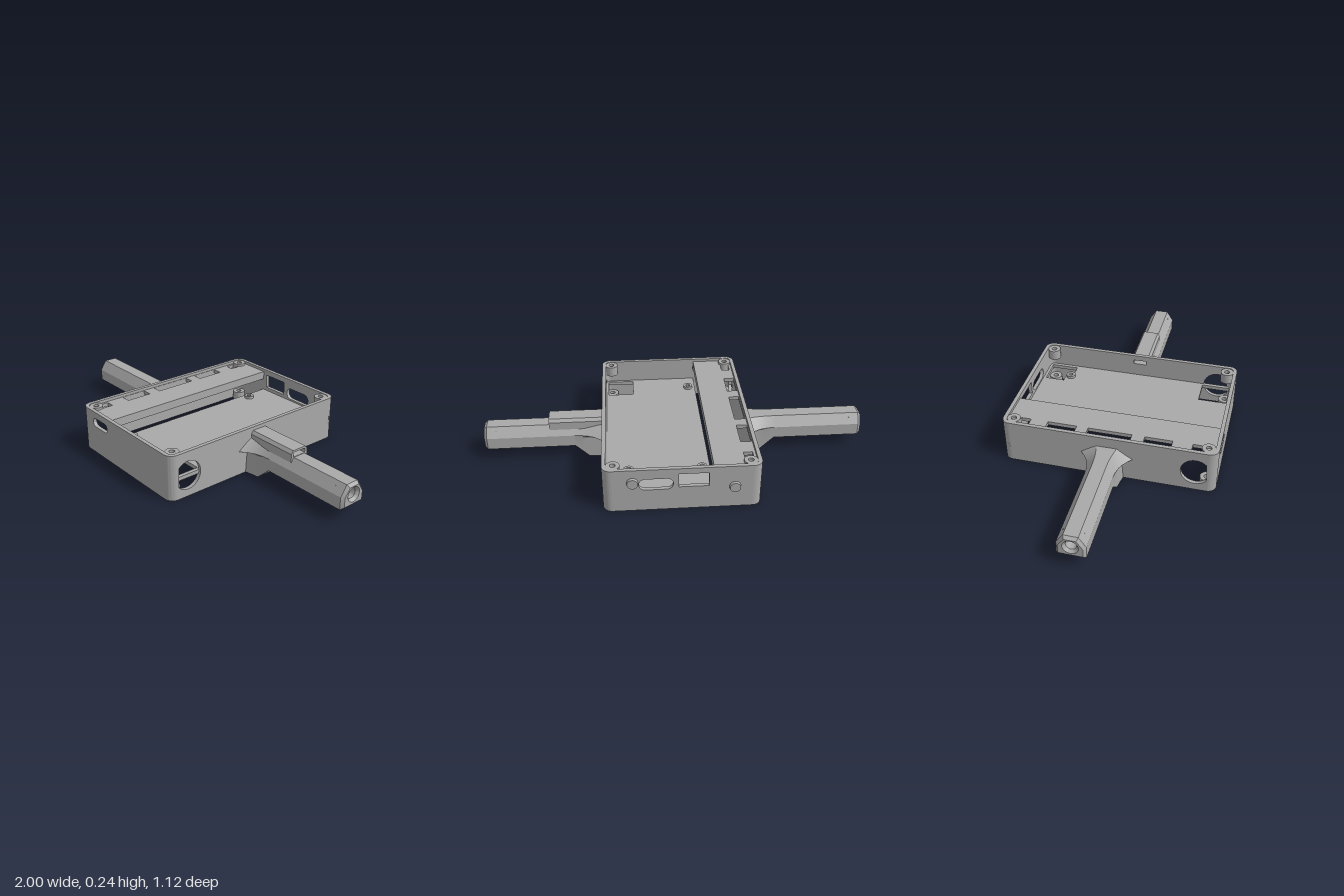
import * as THREE from 'three';
import { toCreasedNormals } from 'three/addons/utils/BufferGeometryUtils.js';

const plastic = new THREE.MeshStandardMaterial({ color: 0xa9a9a9 });
plastic.name = 'greyPlastic';

const CZ = 0.005;                       // z centre of the case and arms
const HX = 0.383, HZ = 0.55, H = 0.236; // case half sizes and height
const WALL = 0.02, R = 0.045;

const mesh = (name, geo) => {
  const m = new THREE.Mesh(geo, plastic);
  m.name = name;
  return m;
};
const poly = (pts) => new THREE.Shape(pts.map(([x, y]) => new THREE.Vector2(x, y)));
const rect = (x0, y0, x1, y1) => poly([[x0, y0], [x1, y0], [x1, y1], [x0, y1]]);
const circle = (x, y, r) => new THREE.Shape().absarc(x, y, r, 0, Math.PI * 2);
const slot = (x0, y0, x1, y1) => {
  const r = (y1 - y0) / 2, y = y0 + r;
  return new THREE.Shape()
    .absarc(x0 + r, y, r, Math.PI / 2, Math.PI * 1.5)
    .absarc(x1 - r, y, r, -Math.PI / 2, Math.PI / 2);
};
const extrude = (shape, depth, holes = [], opts = {}) => {
  shape.holes.push(...holes);
  const geo = new THREE.ExtrudeGeometry(shape, { depth, bevelEnabled: false, curveSegments: 16, ...opts });
  return toCreasedNormals(geo, 0.5);
};
// Shape in (x, z), extruded down from y = top
const slab = (shape, top, depth, holes) =>
  extrude(shape, depth, holes).rotateX(Math.PI / 2).translate(0, top, 0);
// Shape in (z, y), extruded towards -x from x = end
const along = (shape, end, depth, holes, opts) =>
  extrude(shape, depth, holes, opts).rotateY(-Math.PI / 2).translate(end, 0, 0);
// Vertical screw tube
const tube = (name, x, z, y0, y1, r, hole) =>
  mesh(name, slab(circle(x, z, r), y1, y1 - y0, [circle(x, z, hole)]));

function makeCase() {
  const g = new THREE.Group();
  g.name = 'case';
  const z0 = CZ - HZ, z1 = CZ + HZ, ix = HX - R;

  // Side walls with two round ports each; the left one has a cable opening
  const ports = () => [circle(0.45, 0.112, 0.074), circle(-0.437, 0.112, 0.074)];
  g.add(mesh('leftWall', along(rect(z0 + R, 0, z1 - R, H), HX, WALL,
    [...ports(), rect(-0.032, 0.183, 0.042, 0.206)])));
  g.add(mesh('rightWall', along(rect(z0 + R, 0, z1 - R, H), -HX + WALL, WALL, ports())));

  // Front wall with a slot, back wall with a slot and a window
  g.add(mesh('frontWall', extrude(rect(-ix, 0, ix, H), WALL,
    [slot(-0.28, 0.153, -0.147, 0.201)]).translate(0, 0, z1 - WALL)));
  g.add(mesh('backWall', extrude(rect(-ix, 0, ix, H), WALL,
    [slot(0.045, 0.12, 0.21, 0.182), rect(-0.125, 0.13, 0.02, 0.205)]).translate(0, 0, z0)));

  // Rounded corners with short screw bosses at top and bottom
  for (const sx of [-1, 1]) for (const sz of [-1, 1]) {
    const a = Math.atan2(sz, sx) - Math.PI / 4;
    const cx = sx * ix, cz = CZ + sz * (HZ - R);
    const corner = new THREE.Shape()
      .absarc(cx, cz, R, a, a + Math.PI / 2, false)
      .absarc(cx, cz, R - WALL, a + Math.PI / 2, a, true);
    g.add(mesh('corner', slab(corner, H, H)));
    const bx = sx * 0.33, bz = CZ + sz * 0.497;
    g.add(tube('topBoss', bx, bz, 0.178, H - 0.003, 0.034, 0.014));
    g.add(tube('bottomBoss', bx, bz, 0.003, 0.05, 0.034, 0.014));
  }

  // Round buttons on the back
  for (const [x, y] of [[0.24, 0.165], [-0.25, 0.12]]) {
    const b = mesh('button', new THREE.CylinderGeometry(0.03, 0.026, 0.03, 24).rotateX(Math.PI / 2));
    b.position.set(x, y, z0);
    g.add(b);
  }
  return g;
}

function makeInterior() {
  const g = new THREE.Group();
  g.name = 'interior';
  // Low mounting plate with open corners
  const mounts = [[-0.11, -0.375], [0.255, -0.375], [-0.11, 0.425]];
  const plate = poly([[-0.15, -0.53], [0.37, -0.53], [0.37, 0.54], [-0.15, 0.54]]);
  g.add(mesh('mountingPlate', slab(plate, 0.11, 0.02, [
    poly([[0.21, -0.51], [0.345, -0.51], [0.345, -0.365], [0.285, -0.365], [0.285, -0.405], [0.21, -0.405]]),
    rect(0.21, 0.37, 0.35, 0.52),
    circle(-0.11, -0.375, 0.012), circle(-0.11, 0.425, 0.012)])));
  for (const [x, z] of mounts) g.add(tube('mountPost', x, z, 0.06, 0.125, 0.025, 0.012));

  // High shelf with a row of openings and a folded inner lip
  const openings = [[-0.46, -0.41], [-0.32, -0.17], [-0.11, 0.115], [0.18, 0.32], [0.42, 0.475]];
  g.add(mesh('shelf', slab(rect(-0.37, -0.53, -0.15, 0.54), 0.22, 0.02,
    openings.map(([a, b], i) => rect(i % 4 ? -0.36 : -0.35, a, -0.305, b)))));
  g.add(mesh('shelfLip', slab(rect(-0.163, -0.53, -0.15, 0.54), 0.215, 0.04)));
  return g;
}

const house = () => poly([[0.07, 0.065], [0.07, 0.128], [0.035, 0.18],
  [-0.035, 0.18], [-0.07, 0.128], [-0.07, 0.065]]);

// Flared root, lofted from cross-sections along x
function makeRoot() {
  const xs = [0.37, 0.39, 0.41, 0.435, 0.46, 0.495, 0.53];
  const rings = xs.map((x) => {
    const f = Math.pow((0.53 - x) / 0.16, 2.3);
    const t = 0.035 + 0.02 * f, m = 0.07 + 0.075 * f, l = 0.07 + 0.008 * f, b = 0.07 + 0.018 * f;
    const low = Math.max(0, (x - 0.46) / 0.07 * 0.065);
    return [[t, 0.18], [-t, 0.18], [-m, 0.128], [-l, 0.118], [-b, low], [b, low], [l, 0.118], [m, 0.128]]
      .map(([z, y]) => [x, y, z]);
  });
  const pos = [];
  for (let i = 0; i < rings.length - 1; i++) for (let j = 0; j < 8; j++) {
    const k = (j + 1) % 8;
    const a = rings[i][j], b = rings[i][k], c = rings[i + 1][k], d = rings[i + 1][j];
    pos.push(...a, ...d, ...c, ...a, ...c, ...b);
  }
  const geo = new THREE.BufferGeometry();
  geo.setAttribute('position', new THREE.Float32BufferAttribute(pos, 3));
  return toCreasedNormals(geo, 0.55);
}

function makeArm(name) {
  const g = new THREE.Group();
  g.name = name;
  g.position.z = CZ;
  g.add(mesh('armRoot', makeRoot()));
  g.add(mesh('rootPlug', along(house(), 0.545, 0.02)));
  // Hollow arm, open below
  g.add(mesh('armShell', along(poly([[0.07, 0.065], [0.07, 0.128], [0.035, 0.18], [-0.035, 0.18],
    [-0.07, 0.128], [-0.07, 0.065], [-0.055, 0.065], [-0.055, 0.122], [-0.028, 0.165],
    [0.028, 0.165], [0.055, 0.122], [0.055, 0.065]]), 0.96, 0.43)));
  // Bevelled end with a round socket
  g.add(mesh('armEnd', along(house(), 0.985, 0.05, [circle(0, 0.125, 0.026)],
    { bevelEnabled: true, bevelSize: 0.012, bevelOffset: -0.012, bevelThickness: 0.015, bevelSegments: 1 })));
  g.add(mesh('socketFloor', new THREE.BoxGeometry(0.01, 0.09, 0.1).translate(0.935, 0.115, 0)));
  // Crossed braces under the arm
  const bay = 0.0925, w = 0.12;
  for (let i = 0; i < 4; i++) for (const s of [-1, 1]) {
    const brace = mesh('brace', new THREE.BoxGeometry(Math.hypot(bay, w), 0.014, 0.014));
    brace.position.set(0.55 + (i + 0.5) * bay, 0.073, 0);
    brace.rotation.y = s * Math.atan2(w, bay);
    g.add(brace);
  }
  return g;
}

export function createModel() {
  const model = new THREE.Group();
  model.name = 'frame';
  model.add(makeCase(), makeInterior());
  const rightArm = makeArm('rightArm');
  rightArm.rotation.y = Math.PI;
  model.add(makeArm('leftArm'), rightArm);

  // Cable hood on top of the left arm
  const hood = poly([[0.057, 0.157], [0.057, 0.2], [0.045, 0.217], [-0.035, 0.217], [-0.047, 0.2], [-0.047, 0.157]]);
  model.add(mesh('cableHood', along(hood, 0.66, 0.285, [rect(-0.032, 0.183, 0.042, 0.206)])));
  return model;
}
